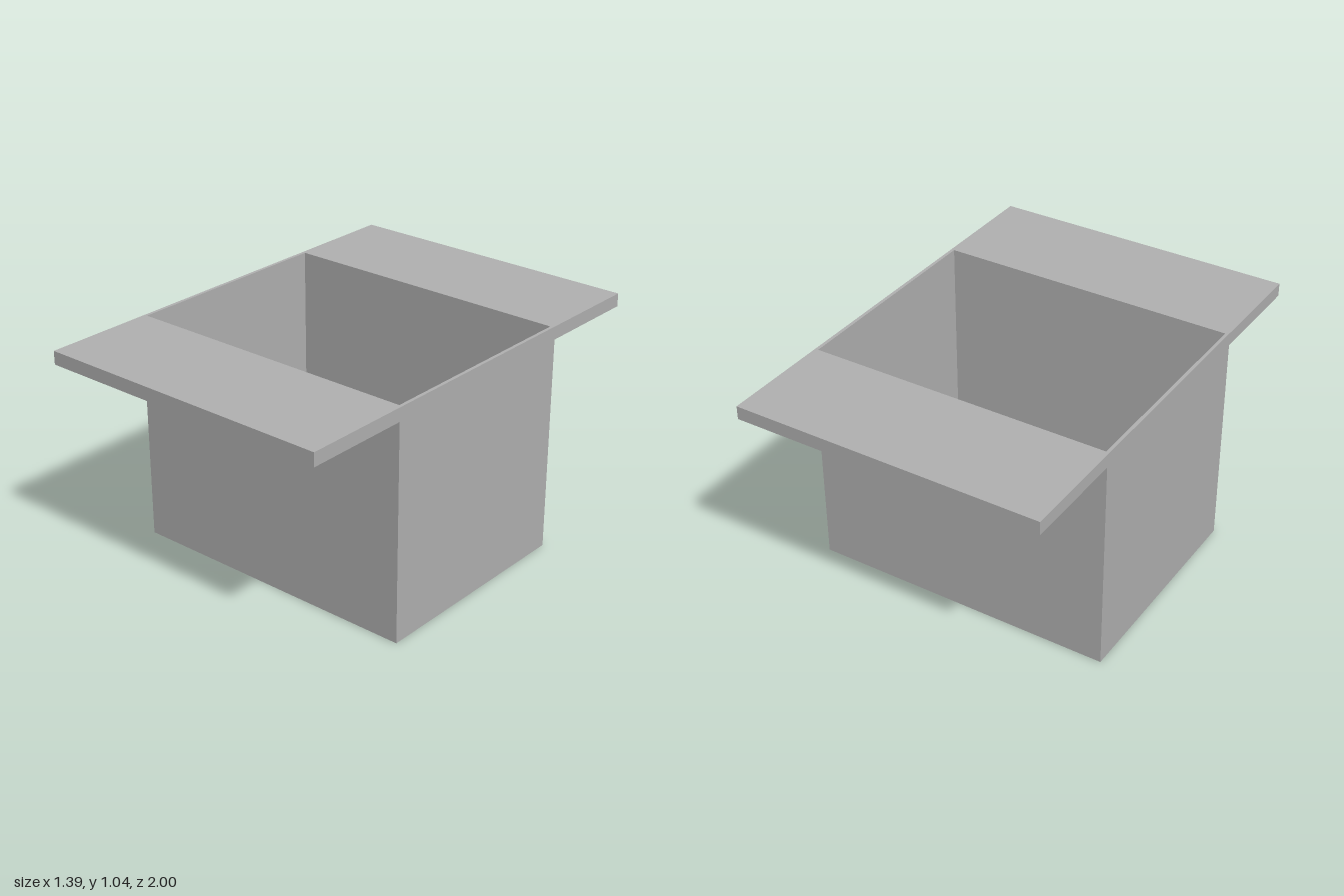
import * as THREE from 'three';

const W = 0.695, D = 0.515, T = 0.015; // body half width, half depth, wall thickness
const FLANGE = 1.0, FLANGE_Y = 0.985, TOP = 1.045;

function rect(target, hx, hz) {
  target.moveTo(-hx, -hz);
  target.lineTo(hx, -hz);
  target.lineTo(hx, hz);
  target.lineTo(-hx, hz);
  target.closePath();
  return target;
}

// Horizontal rectangle with an optional opening, raised from y0 to y1
function slab(name, hx, hz, y0, y1, material, open) {
  const shape = rect(new THREE.Shape(), hx, hz);
  if (open) shape.holes.push(rect(new THREE.Path(), W - T, D - T));
  const geometry = new THREE.ExtrudeGeometry(shape, { depth: y1 - y0, bevelEnabled: false });
  geometry.rotateX(-Math.PI / 2).translate(0, y0, 0);
  const mesh = new THREE.Mesh(geometry, material);
  mesh.name = name;
  return mesh;
}

export function createModel() {
  const group = new THREE.Group();
  group.name = 'flangedBin';
  const grey = new THREE.MeshStandardMaterial({ color: 0xb2b2b2 });
  grey.name = 'plain grey';

  // Thin floor, four walls and the wide flat rim overhanging front and back
  group.add(
    slab('floor', W, D, 0, T, grey, false),
    slab('walls', W, D, T, FLANGE_Y, grey, true),
    slab('rimFlange', W, FLANGE, FLANGE_Y, TOP, grey, true),
  );
  return group;
}
